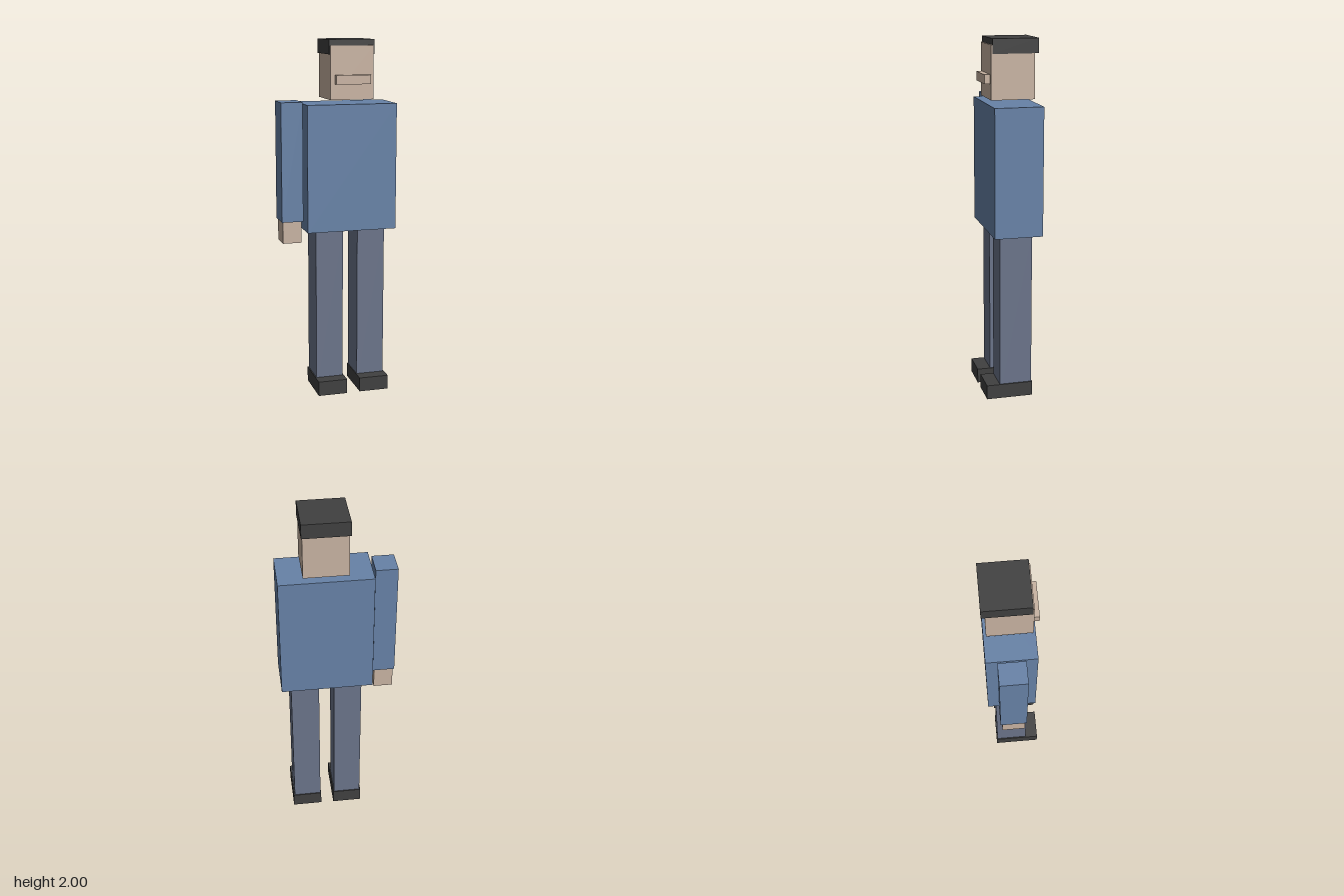
import * as THREE from 'three';

function makeMaterial(name, color) {
  const material = new THREE.MeshStandardMaterial({ color });
  material.name = name;
  return material;
}

export function createModel() {
  const skin = makeMaterial('skin', 0xc8b3a2);
  const shirt = makeMaterial('blue shirt', 0x6782a7);
  const trousers = makeMaterial('slate trousers', 0x6b748a);
  const dark = makeMaterial('charcoal', 0x404040);

  const model = new THREE.Group();
  model.name = 'blockFigure';

  // Box spanning the given [min, max] range on each axis
  function block(name, material, [x0, x1], [y0, y1], [z0, z1]) {
    const mesh = new THREE.Mesh(new THREE.BoxGeometry(x1 - x0, y1 - y0, z1 - z0), material);
    mesh.position.set((x0 + x1) / 2, (y0 + y1) / 2, (z0 + z1) / 2);
    mesh.name = name;
    model.add(mesh);
  }

  // Head floats just above the body, with a flat cap of hair and a wide nose
  block('head', skin, [-0.057, 0.187], [1.675, 1.967], [-0.135, 0.105]);
  block('nose', skin, [-0.031, 0.163], [1.76, 1.81], [0.1, 0.136]);
  block('hair', dark, [-0.062, 0.193], [1.92, 2.0], [-0.155, 0.098]);

  // Body and the single right arm
  block('torso', shirt, [-0.19, 0.32], [0.945, 1.651], [-0.15, 0.118]);
  block('rightSleeve', shirt, [-0.322, -0.201], [1.0, 1.663], [-0.09, 0.057]);
  block('rightHand', skin, [-0.315, -0.209], [0.878, 1.001], [-0.08, 0.047]);

  // Legs and shoes; the left leg reaches through its sole
  block('rightLeg', trousers, [-0.134, 0.022], [0.01, 0.95], [-0.104, 0.078]);
  block('rightShoe', dark, [-0.14, 0.028], [0, 0.083], [-0.109, 0.153]);
  block('leftLeg', trousers, [0.107, 0.265], [0, 0.95], [-0.104, 0.078]);
  block('leftShoe', dark, [0.103, 0.272], [0.002, 0.083], [-0.109, 0.153]);

  return model;
}
